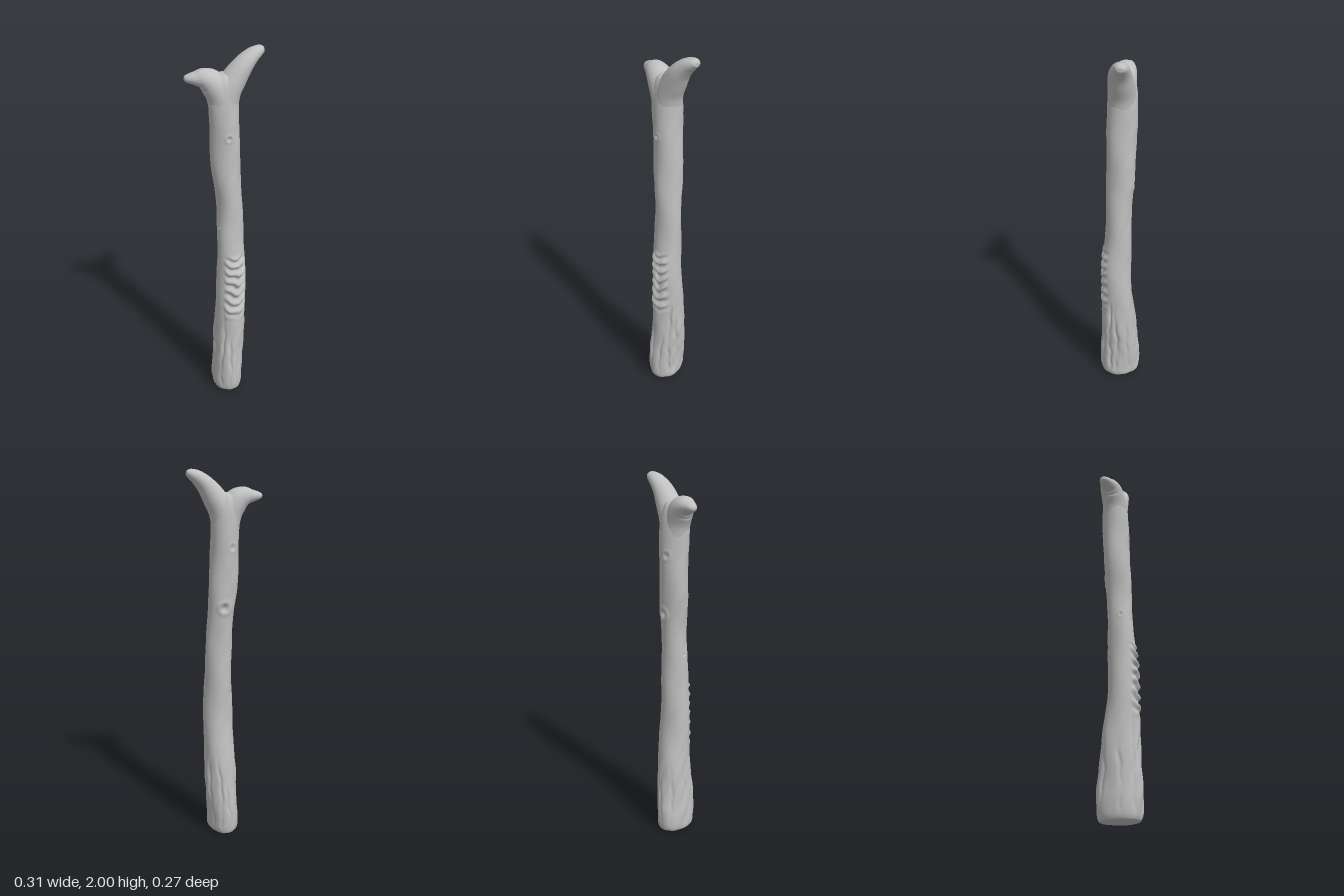
import * as THREE from 'three';

const R = Math.SQRT1_2;
const SIDE = new THREE.Vector3(R, 0, R); // square to the diagonal along which the limbs spread

const bump = (d, w) => Math.exp(-(d * d) / (w * w));
const step = THREE.MathUtils.smoothstep;
const angle = (a) => Math.atan2(Math.sin(a), Math.cos(a));

// Skins rows of [x, y, z, radius along fork, radius across], with an optional relief rule
function loft(rows, rings, sides, relief = () => 0) {
  const path = new THREE.CatmullRomCurve3(rows.map((r) => new THREE.Vector3(r[0], r[1], r[2])), false, 'catmullrom', 0.5);
  const size = new THREE.CatmullRomCurve3(rows.map((r) => new THREE.Vector3(r[3], r[4], 0)), false, 'catmullrom', 0.5);
  const pos = [];
  const index = [];
  for (let i = 0; i <= rings; i++) {
    const u = i / rings;
    const c = path.getPoint(u);
    const s = size.getPoint(u);
    const n = path.getTangent(u).cross(SIDE).normalize();
    for (let j = 0; j < sides; j++) {
      const th = (j / sides) * Math.PI * 2;
      const d = relief(th, c.y) * Math.min(1, Math.max(0, s.x) / 0.05);
      const p = c.clone()
        .addScaledVector(n, (Math.max(0, s.x) + d) * Math.cos(th))
        .addScaledVector(SIDE, (Math.max(0, s.y) + d) * Math.sin(th));
      pos.push(p.x, Math.max(0, p.y), p.z);
      if (i < rings) {
        const a = i * sides + j;
        const b = i * sides + ((j + 1) % sides);
        index.push(a, a + sides, b, b, a + sides, b + sides);
      }
    }
  }
  const g = new THREE.BufferGeometry();
  g.setAttribute('position', new THREE.Float32BufferAttribute(pos, 3));
  g.setIndex(index);
  g.computeVertexNormals();
  return g;
}

// Bark grooves near the foot: [angle, depth, top height]
const GROOVES = [
  [0.15, 0.012, 0.6], [0.55, 0.014, 0.62], [1.05, 0.009, 0.4], [1.75, 0.011, 0.45], [2.3, 0.009, 0.6],
  [3.0, 0.007, 0.4], [3.9, 0.007, 0.5], [4.6, 0.006, 0.4], [5.1, 0.008, 0.55], [5.8, 0.01, 0.5],
];
// Knots: [angle, height, size, depth]
const KNOTS = [[4.75, 1.31, 0.03, 0.011], [1.55, 1.58, 0.016, 0.008], [4.4, 1.62, 0.022, 0.005], [2.9, 1.08, 0.014, 0.006]];

function barkRelief(th, y) {
  // gentle overall unevenness
  let d = 0.0018 * Math.sin(3 * th + 7 * y) + 0.0015 * Math.sin(2 * th - 17 * y + 1)
    + 0.001 * Math.sin(5 * th + 31 * y) * Math.sin(13 * y);
  for (const [a, depth, top] of GROOVES) {
    const wander = 0.06 * Math.sin(15 * y + a * 5) + 0.03 * Math.sin(53 * y + a);
    const fade = (1 - step(y, top - 0.12, top)) * step(y, 0.02, 0.1) * (0.65 + 0.35 * Math.sin(19 * y + a * 9));
    d -= depth * fade * bump(angle(th - a - wander), 0.09);
  }
  // lumpy bark between the grooves
  d += 0.002 * (1 - step(y, 0.4, 0.65)) * Math.sin(7 * th + 13 * y) * Math.sin(29 * y + 2 * th);
  // stacked V-shaped folds on one face
  const q = angle(th - 1.5);
  const mask = step(y, 0.5, 0.6) * (1 - step(y, 0.89, 0.94)) * (1 - step(Math.abs(q), 0.5, 0.95));
  const sag = 0.04 * Math.abs(q + 0.15) - 0.012 * q + 0.005 * Math.sin(6 * q + 25 * y);
  d += mask * (0.002 + 0.008 * Math.sin((y - sag) * Math.PI * 2 / 0.056 + Math.sin(14 * y)));
  // knots: a raised rim around a hollow
  for (const [a, h, w, depth] of KNOTS) {
    const r = Math.hypot(angle(th - a) * 0.073, y - h);
    d += depth * (0.4 * bump(r - w, w * 0.4) - bump(r, w * 0.6));
  }
  return d;
}

// Limb rows given as [distance along fork, height, offset across, radius, radius across]
const limbRows = (rows) => rows.map(([s, y, t, a, b]) => [(s + t) * R, y, (t - s) * R, a, b]);

export function createModel() {
  const group = new THREE.Group();
  group.name = 'forkedTrunk';
  const bark = new THREE.MeshStandardMaterial({ color: 0xc0c0c0 });
  bark.name = 'pale grey bark';
  const add = (name, geometry) => {
    const m = new THREE.Mesh(geometry, bark);
    m.name = name;
    group.add(m);
  };

  add('trunk', loft([
    [0.024, 0, 0.018, 0, 0],
    [0.024, 0.005, 0.018, 0.06, 0.082],
    [0.024, 0.025, 0.018, 0.08, 0.108],
    [0.024, 0.1, 0.018, 0.085, 0.114],
    [0.028, 0.2, 0.014, 0.084, 0.111],
    [0.036, 0.4, 0.007, 0.084, 0.099],
    [0.046, 0.6, 0.01, 0.082, 0.083],
    [0.049, 0.8, 0.012, 0.077, 0.077],
    [0.04, 1.0, 0.008, 0.07, 0.07],
    [0.033, 1.2, 0.005, 0.067, 0.067],
    [0.016, 1.4, 0.008, 0.073, 0.073],
    [0.008, 1.6, 0.01, 0.073, 0.073],
    [0.003, 1.75, 0.012, 0.073, 0.073],
    [0.004, 1.82, 0.012, 0.067, 0.068],
    [0.005, 1.865, 0.011, 0.045, 0.053],
    [0.005, 1.882, 0.011, 0.022, 0.03],
    [0.005, 1.886, 0.011, 0, 0],
  ], 420, 110, barkRelief));

  add('tallLimb', loft(limbRows([
    [-0.005, 1.70, 0.012, 0.066, 0.066],
    [0.01, 1.79, 0.012, 0.067, 0.068],
    [0.05, 1.86, 0.014, 0.059, 0.062],
    [0.09, 1.915, 0.016, 0.047, 0.054],
    [0.13, 1.952, 0.013, 0.037, 0.044],
    [0.165, 1.972, 0.01, 0.027, 0.033],
    [0.187, 1.979, 0.009, 0.016, 0.02],
    [0.194, 1.98, 0.009, 0, 0],
  ]), 56, 36));

  add('shortLimb', loft(limbRows([
    [-0.008, 1.70, 0.012, 0.066, 0.066],
    [-0.025, 1.78, 0.012, 0.066, 0.067],
    [-0.06, 1.838, 0.008, 0.062, 0.064],
    [-0.1, 1.862, 0.002, 0.05, 0.055],
    [-0.14, 1.865, -0.006, 0.032, 0.039],
    [-0.17, 1.865, -0.013, 0.021, 0.027],
    [-0.186, 1.865, -0.016, 0.012, 0.015],
    [-0.191, 1.865, -0.016, 0, 0],
  ]), 56, 36));

  return group;
}
